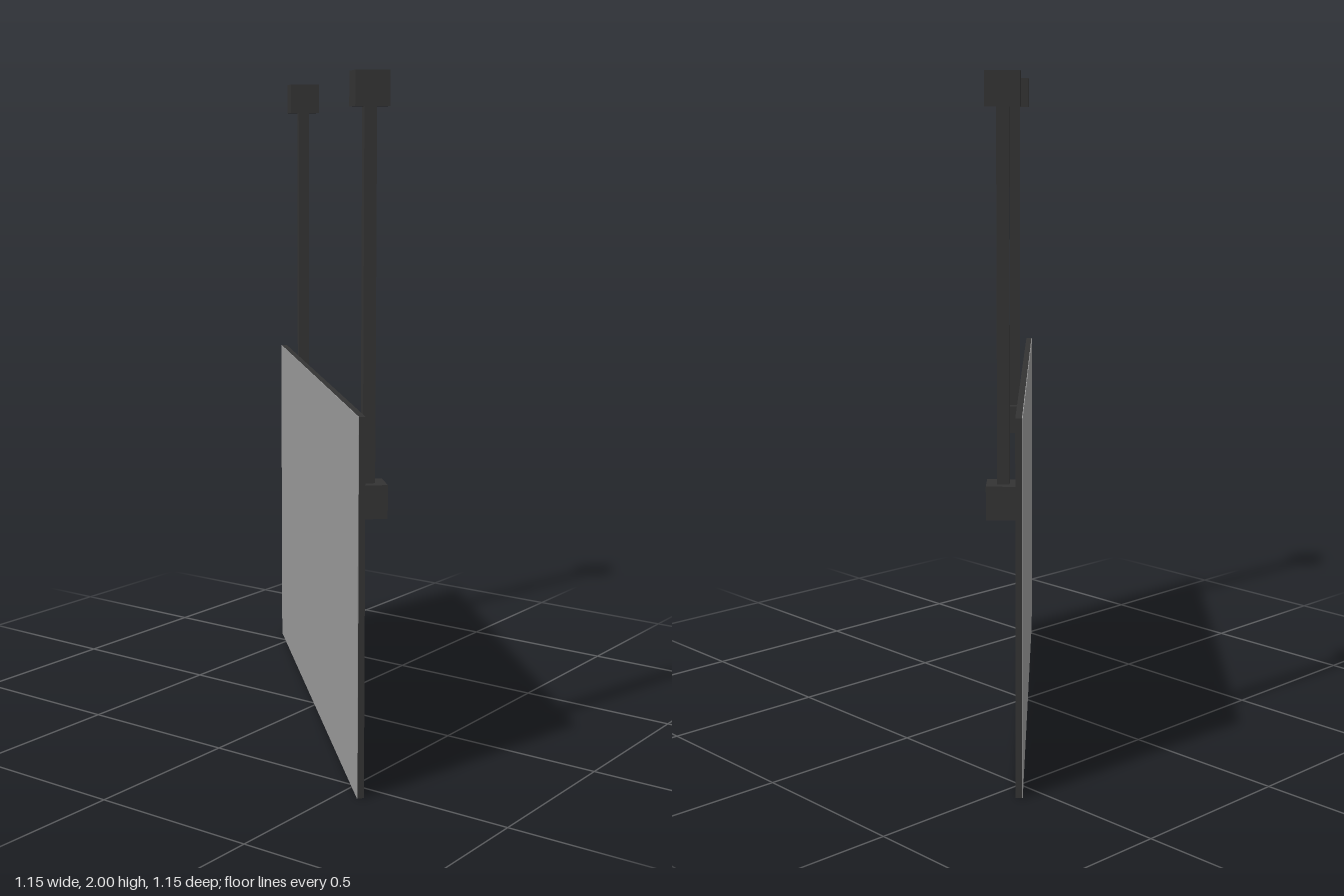
import * as THREE from 'three';

const dark = new THREE.MeshStandardMaterial({ color: 0x333333 });
const pale = new THREE.MeshStandardMaterial({ color: 0x999999 });

function addBox(parent, name, [w, h, d], [x, y, z], material = dark) {
  const mesh = new THREE.Mesh(new THREE.BoxGeometry(w, h, d), material);
  mesh.name = name;
  mesh.position.set(x, y, z);
  parent.add(mesh);
}

export function createModel() {
  const model = new THREE.Group();
  model.name = 'hangingPanel';

  // Everything is laid out along x, then turned by 45 degrees
  const assembly = new THREE.Group();
  assembly.name = 'panelAssembly';
  assembly.rotation.y = Math.PI / 4;
  model.add(assembly);

  // Thin board with a paler sheet on its back
  const width = 1.607, height = 1.078;
  addBox(assembly, 'panel', [width, height, 0.018], [0, height / 2, 0.001]);
  addBox(assembly, 'backSheet', [width, height, 0.002], [0, height / 2, -0.009], pale);

  // Two square hanger rods with a cube at each end
  const cube = 0.096, z = 0.047;
  for (const [side, sign] of [['left', 1], ['right', -1]]) {
    const hanger = new THREE.Group();
    hanger.name = side + 'Hanger';
    hanger.position.set(sign * 0.639, 0, z);
    addBox(hanger, 'ceilingMount', [cube, cube, cube], [0, 2 - cube / 2, 0]);
    addBox(hanger, 'rod', [0.035, 1.12, 0.035], [0, 1.38, 0]);
    addBox(hanger, 'panelClamp', [cube, cube, cube], [0, 0.816, 0]);
    assembly.add(hanger);
  }
  return model;
}
